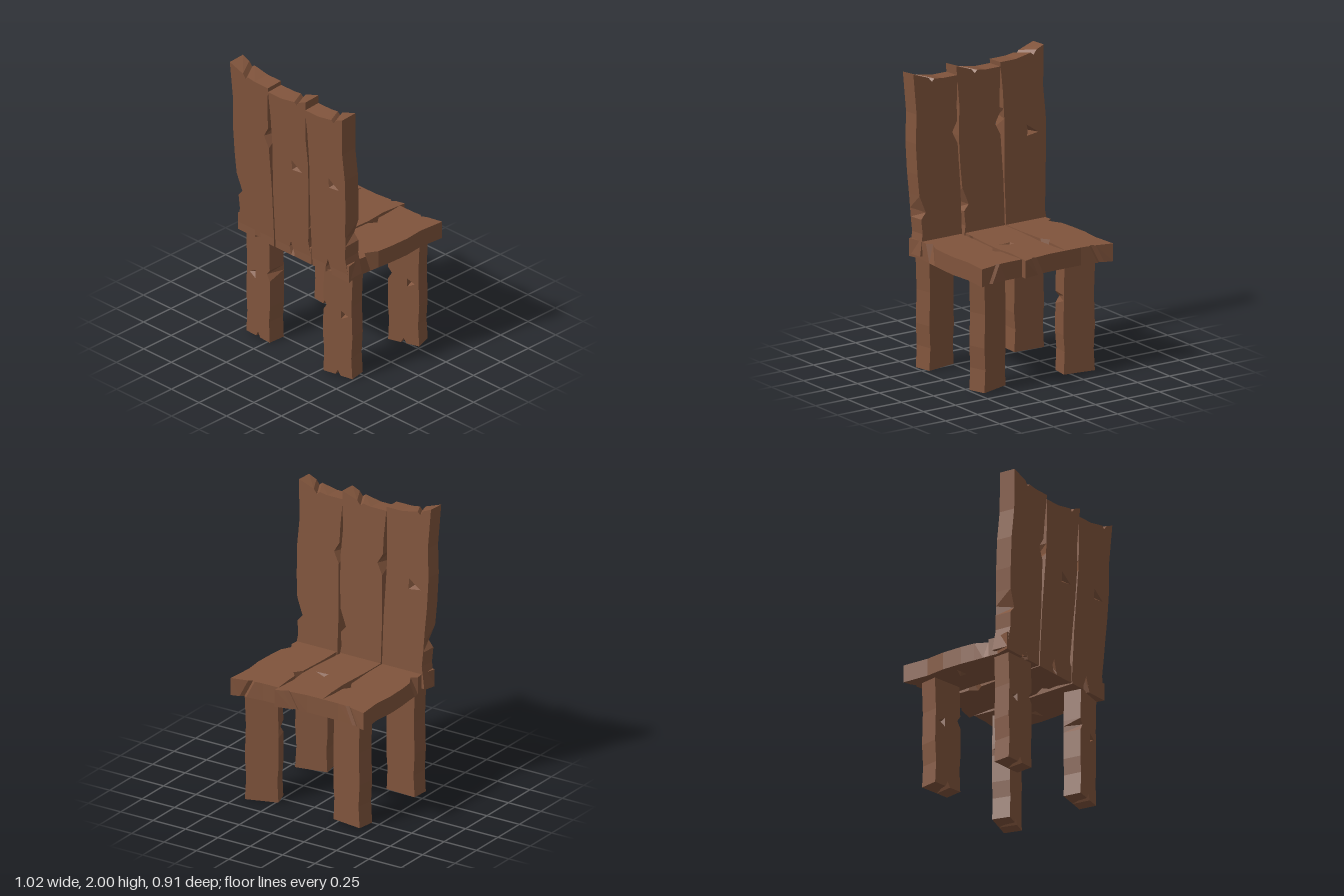
import * as THREE from 'three';

// Outlines run anticlockwise as [x, v] or [x, v, backX, backV]; v is a fraction of the length.
// A differing back point makes a slanted groove or a nick cut in one face only.
const PLANK = [
  [-0.165, 0], [-0.05, 0], [-0.02, 0.07, -0.02, 0], [0.01, 0], [0.165, 0],
  [0.14, 0.12], [0.147, 0.2], [0.15, 0.25, 0.11, 0.235], [0.155, 0.33], [0.165, 0.45],
  [0.17, 0.62], [0.157, 0.78], [0.172, 1],
  [0.115, 0.98, 0.055, 0.967], [0.09, 0.955, 0.03, 0.942], [0.07, 0.969, 0.01, 0.958],
  [-0.05, 0.951], [-0.17, 0.951],
  [-0.157, 0.8], [-0.154, 0.7], [-0.152, 0.645, -0.115, 0.645], [-0.154, 0.58], [-0.165, 0.33],
];
const PLANK_PIT = [[0.02, 0.53], [0.11, 0.54], [0.02, 0.59]];

const LEG = [
  [-0.112, 0], [-0.02, 0], [0, 0.05, 0, 0], [0.02, 0], [0.112, 0],
  [0.105, 0.2], [0.114, 0.35], [0.112, 0.6], [0.085, 0.66, 0.112, 0.66], [0.112, 0.71],
  [0.106, 1], [-0.114, 1], [-0.105, 0.7], [-0.112, 0.4], [-0.103, 0.2],
];
const LEG_PIT = [[-0.08, 0.6], [-0.025, 0.56], [-0.025, 0.64]];

// Rough board: two caps, side walls, and one chipped pit in the front face
function board(outline, pit, length, depth, mirror = false) {
  const sx = mirror ? -1 : 1;
  const order = (list) => (mirror ? [...list].reverse() : list);
  const h = depth / 2;
  const pts = order(outline);
  const front = pts.map(([x, v]) => new THREE.Vector3(x * sx, v * length, h));
  const back = pts.map(([x, v, bx = x, bv = v]) => new THREE.Vector3(bx * sx, bv * length, -h));
  const hole = order(pit).map(([x, v]) => new THREE.Vector3(x * sx, v * length, h));
  const flat = (list) => list.map((p) => new THREE.Vector2(p.x, p.y));
  const pos = [];
  const tri = (...corners) => corners.forEach((p) => pos.push(p.x, p.y, p.z));

  const frontAll = [...front, ...hole];
  for (const [a, b, c] of THREE.ShapeUtils.triangulateShape(flat(front), [flat(hole).reverse()])) {
    // the hole was reversed for the triangulation, so map its indices back
    const at = (i) => (i < front.length ? frontAll[i] : hole[hole.length - 1 - (i - front.length)]);
    tri(at(a), at(b), at(c));
  }
  for (const [a, b, c] of THREE.ShapeUtils.triangulateShape(flat(back), [])) {
    tri(back[c], back[b], back[a]);
  }
  front.forEach((f, i) => {
    const j = (i + 1) % front.length;
    tri(f, back[i], back[j]);
    tri(f, back[j], front[j]);
  });
  const apex = hole[0].clone().add(hole[1]).add(hole[2]).divideScalar(3);
  apex.z -= 0.035;
  hole.forEach((p, i) => tri(p, hole[(i + 1) % 3], apex));

  const geometry = new THREE.BufferGeometry();
  geometry.setAttribute('position', new THREE.Float32BufferAttribute(pos, 3));
  geometry.computeVertexNormals();
  return geometry;
}

export function createModel() {
  const wood = new THREE.MeshStandardMaterial({ color: 0x80543c });
  wood.name = 'brown wood';
  const chair = new THREE.Group();
  chair.name = 'chair';

  const add = (parent, name, geometry, x, y, z, turn = 0) => {
    const mesh = new THREE.Mesh(geometry, wood);
    mesh.name = name;
    mesh.position.set(x, y, z);
    mesh.rotation.y = turn;
    parent.add(mesh);
  };

  // Backrest: three upright planks leaning outward
  const backrest = new THREE.Group();
  backrest.name = 'backrest';
  backrest.position.set(0, 0.76, 0.326);
  backrest.rotation.x = 0.055;
  add(backrest, 'backPlankRight', board(PLANK, PLANK_PIT, 1.24, 0.12), -0.34, 0, 0, Math.PI);
  add(backrest, 'backPlankMiddle', board(PLANK, PLANK_PIT, 1.21, 0.12), 0, 0, 0);
  add(backrest, 'backPlankLeft', board(PLANK, PLANK_PIT, 1.21, 0.12), 0.335, 0, 0);
  chair.add(backrest);

  // Seat: three planks laid flat, the outer two turned over
  const seat = new THREE.Group();
  seat.name = 'seat';
  seat.position.set(0, 0.8, 0.388);
  seat.rotation.x = -Math.PI / 2;
  add(seat, 'seatPlankRight', board(PLANK, PLANK_PIT, 0.843, 0.12), -0.34, 0, 0, Math.PI);
  add(seat, 'seatPlankMiddle', board(PLANK, PLANK_PIT, 0.843, 0.12), 0, 0, 0);
  add(seat, 'seatPlankLeft', board(PLANK, PLANK_PIT, 0.843, 0.12, true), 0.34, 0, 0, Math.PI);
  chair.add(seat);

  // Legs: each set at its own slight angle
  const legs = [
    ['frontLegRight', -0.34, 0.305, -0.05, false],
    ['frontLegLeft', 0.363, 0.3, 0.2, true],
    ['backLegRight', -0.325, -0.295, -0.14, false],
    ['backLegLeft', 0.36, -0.295, 0.32, true],
  ];
  for (const [name, x, z, turn, mirror] of legs) {
    add(chair, name, board(LEG, LEG_PIT, 0.75, 0.122, mirror), x, 0, z, turn);
  }
  return chair;
}
